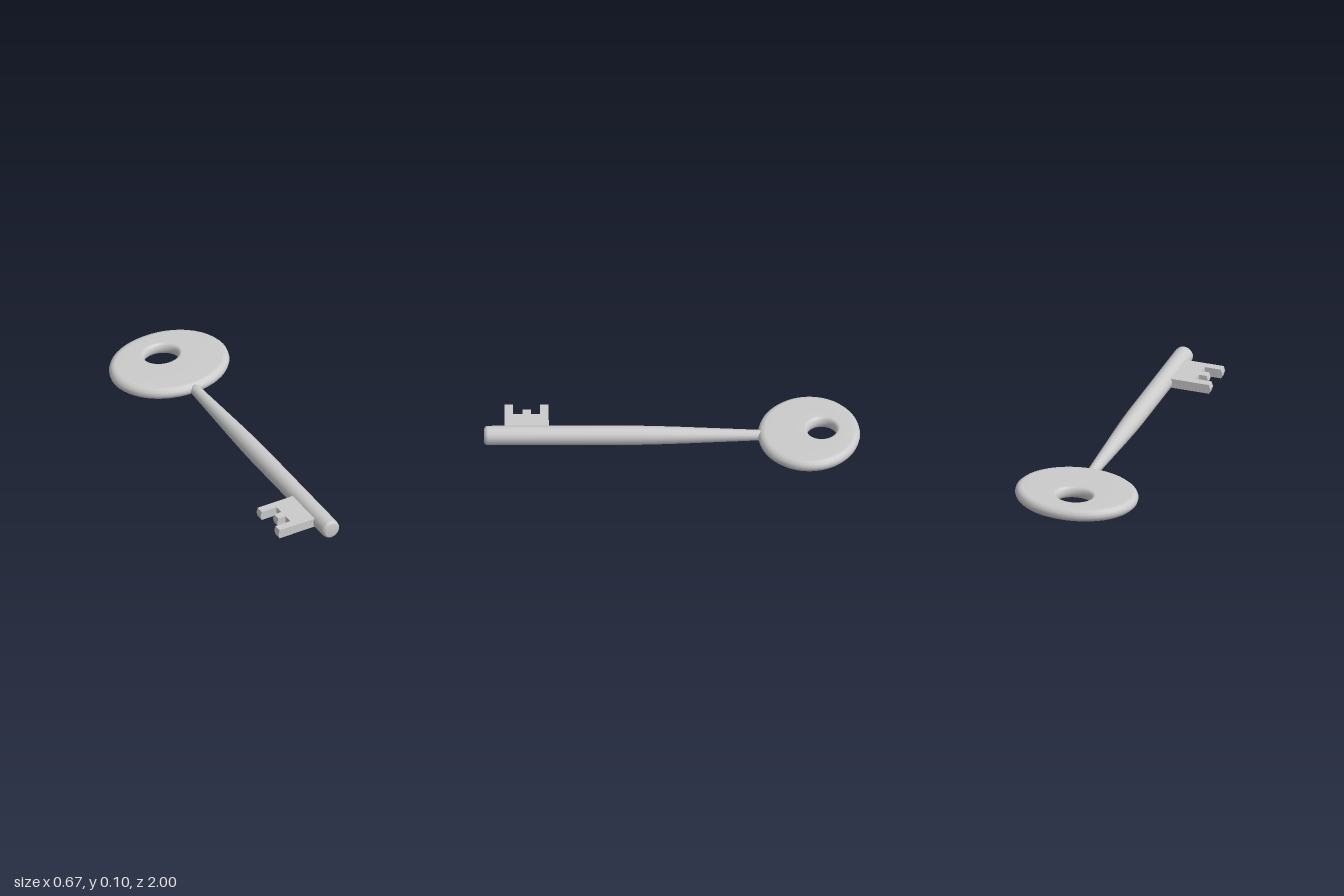
import * as THREE from 'three';

const material = new THREE.MeshStandardMaterial({ color: 0xcccccc });
const MID_Y = 0.056;

// Oval grip plate with an off-centre oval hole and rounded rims
function createBow() {
  const segments = 48, arc = 6, half = 0.034;
  const outer = { x: 0, z: -0.727, rx: 0.335, rz: 0.272 };
  const inner = { x: -0.01, z: -0.795, rx: 0.093, rz: 0.075 };

  // Cross-section: [inset from a rim, height, rim], running round the outer rim, then the inner one
  const profile = [];
  const addRim = (rim, sign, round) => {
    for (let i = 0; i <= arc; i++) {
      const t = (i / arc - 0.5) * Math.PI;
      profile.push([round * (1 - Math.cos(t)), sign * half * Math.sin(t), rim]);
    }
  };
  addRim(outer, 1, 0.038);
  addRim(inner, -1, 0.022);

  const positions = [], indices = [], n = profile.length;
  const onRim = (e, a) => new THREE.Vector3(e.x + e.rx * Math.cos(a), 0, e.z + e.rz * Math.sin(a));
  for (let s = 0; s < segments; s++) {
    const a = (s / segments) * Math.PI * 2;
    const o = onRim(outer, a), i = onRim(inner, a);
    const inward = i.clone().sub(o).normalize();
    profile.forEach(([inset, y, rim], k) => {
      const p = rim === outer ? o.clone().addScaledVector(inward, inset) : i.clone().addScaledVector(inward, -inset);
      positions.push(p.x, MID_Y + y, p.z);
      const s2 = (s + 1) % segments, k2 = (k + 1) % n;
      const p00 = s * n + k, p10 = s * n + k2, p01 = s2 * n + k, p11 = s2 * n + k2;
      indices.push(p00, p10, p01, p10, p11, p01);
    });
  }
  const geometry = new THREE.BufferGeometry();
  geometry.setAttribute('position', new THREE.Float32BufferAttribute(positions, 3));
  geometry.setIndex(indices);
  geometry.computeVertexNormals();
  return new THREE.Mesh(geometry, material);
}

// Round stem, narrowing towards the bow, with a softened tip
function createShaft() {
  const points = [
    [0, -0.49], [0.027, -0.49], [0.029, -0.45], [0.037, -0.25], [0.045, -0.05], [0.05, 0.1], [0.052, 0.22],
    [0.052, 0.6], [0.052, 0.978], [0.049, 0.991], [0.038, 1], [0, 1],
  ].map(([r, z]) => new THREE.Vector2(r, z));
  const geometry = new THREE.LatheGeometry(points, 14);
  geometry.rotateX(Math.PI / 2);
  const mesh = new THREE.Mesh(geometry, material);
  mesh.position.set(0.008, MID_Y - 0.001, 0);
  return mesh;
}

// Flat toothed plate; the tooth ends come to a slight ridge at mid height
function createBit() {
  const depth = 0.052;
  const outline = [
    [0, 0.655], [-0.251, 0.655], [-0.251, 0.7], [-0.16, 0.7], [-0.16, 0.75], [-0.204, 0.75],
    [-0.204, 0.795], [-0.16, 0.795], [-0.16, 0.845], [-0.251, 0.845], [-0.251, 0.89], [0, 0.89],
  ].map(([x, z]) => new THREE.Vector2(x, z));
  const geometry = new THREE.ExtrudeGeometry(new THREE.Shape(outline), { depth, steps: 2, bevelEnabled: false });
  const p = geometry.attributes.position;
  for (let i = 0; i < p.count; i++) {
    if (Math.abs(p.getZ(i) - depth / 2) < 0.001 && p.getX(i) < -0.2) p.setX(i, p.getX(i) - 0.007);
  }
  geometry.rotateX(Math.PI / 2);
  geometry.computeVertexNormals();
  const mesh = new THREE.Mesh(geometry, material);
  mesh.position.y = MID_Y - 0.001 + depth / 2;
  return mesh;
}

export function createModel() {
  const group = new THREE.Group();
  const parts = { bow: createBow(), shaft: createShaft(), bit: createBit() };
  for (const [name, mesh] of Object.entries(parts)) {
    mesh.name = name;
    group.add(mesh);
  }
  return group;
}
